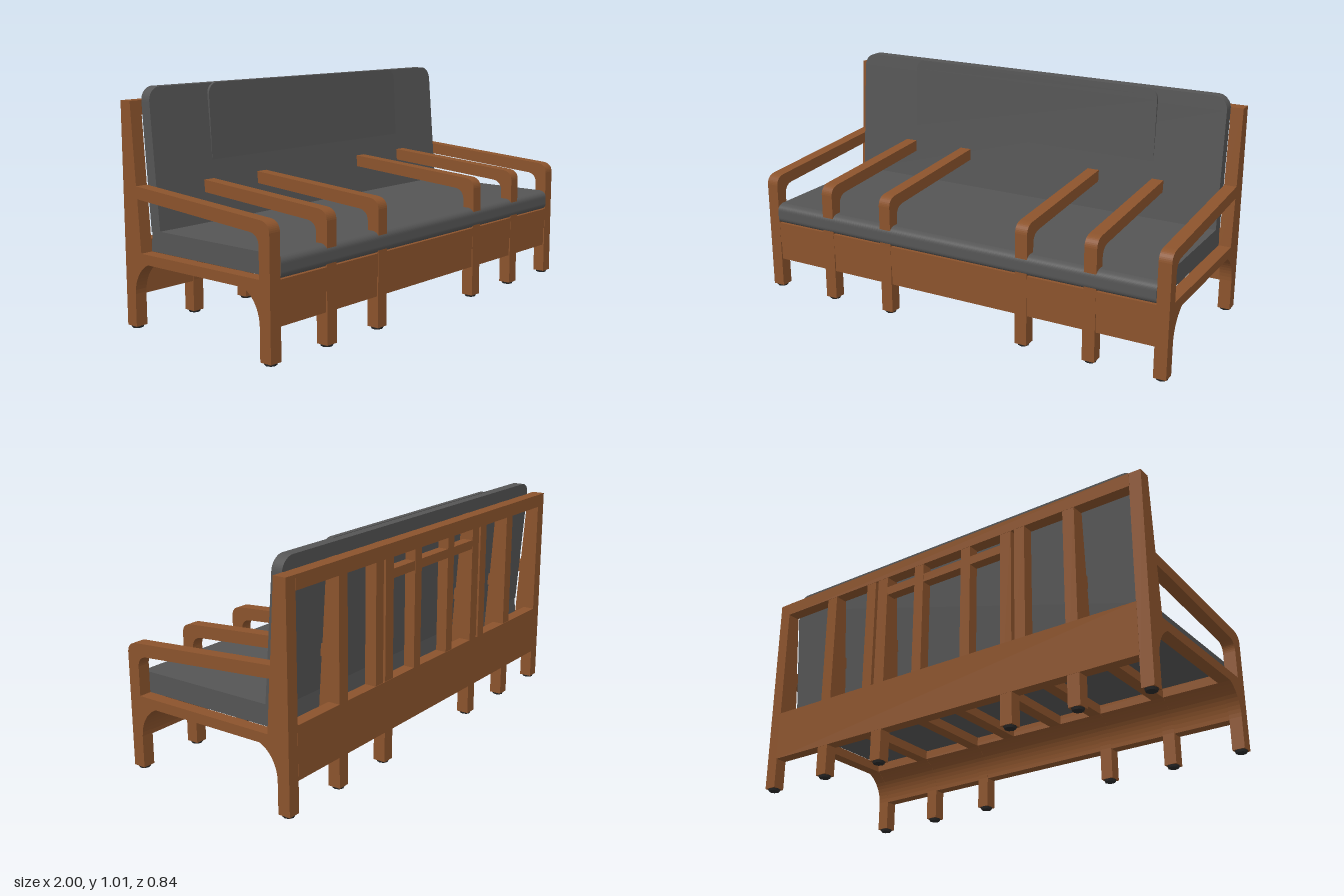
import * as THREE from 'three';

export function createModel() {
  const model = new THREE.Group();
  const mat = (name, color) => {
    const m = new THREE.MeshStandardMaterial({ color });
    m.name = name;
    return m;
  };
  const wood = mat('wood', 0x8b532c);
  const fabric = mat('fabric', 0x555555);
  const rubber = mat('rubber', 0x2b2b2b);

  const add = (name, geometry, material) => {
    const mesh = new THREE.Mesh(geometry, material);
    mesh.name = name;
    model.add(mesh);
    return mesh;
  };
  // Box given by its limits on each axis
  const box = (name, material, x0, x1, y0, y1, z0, z1) =>
    add(name, new THREE.BoxGeometry(x1 - x0, y1 - y0, z1 - z0), material)
      .position.set((x0 + x1) / 2, (y0 + y1) / 2, (z0 + z1) / 2);
  // Profile drawn in (z, y), extruded across x from x0 to x1
  const across = (name, material, shape, x0, x1) => {
    const g = new THREE.ExtrudeGeometry(shape, { depth: x1 - x0, bevelEnabled: false, curveSegments: 10 });
    g.rotateY(-Math.PI / 2);
    g.translate(x1, 0, 0);
    return add(name, g, material);
  };

  // Side frame: legs, arch, armrest and slanted back upright
  const frame = new THREE.Shape();
  frame.moveTo(0.418, 0.01);
  frame.lineTo(0.418, 0.51);
  frame.quadraticCurveTo(0.415, 0.55, 0.37, 0.554);
  frame.lineTo(-0.337, 0.605);
  frame.lineTo(-0.36, 0.95);
  frame.lineTo(-0.418, 0.95);
  frame.lineTo(-0.418, 0.01);
  frame.lineTo(-0.362, 0.01);
  frame.lineTo(-0.362, 0.15);
  frame.bezierCurveTo(-0.36, 0.21, -0.33, 0.26, -0.278, 0.285);
  frame.lineTo(0.278, 0.285);
  frame.bezierCurveTo(0.33, 0.26, 0.36, 0.21, 0.362, 0.15);
  frame.lineTo(0.362, 0.01);
  frame.closePath();
  const gap = new THREE.Path();
  gap.moveTo(0.362, 0.328);
  gap.lineTo(0.362, 0.455);
  gap.quadraticCurveTo(0.36, 0.498, 0.315, 0.503);
  gap.lineTo(-0.332, 0.552);
  gap.lineTo(-0.317, 0.328);
  gap.closePath();
  frame.holes.push(gap);

  for (const s of [-1, 1]) {
    for (const c of [0.972, 0.657, 0.342]) {
      const x = s * c;
      across('sideFrame', wood, frame, x - 0.028, x + 0.028);
      for (const z of [-0.39, 0.39]) {
        const foot = add('footGlide', new THREE.CylinderGeometry(0.028, 0.024, 0.01, 8), rubber);
        foot.position.set(x, 0.005, z);
      }
    }
    // Extra back posts, centre mullions and seat slats
    const post = s * 0.412, mull = s * 0.13;
    box('backPost', wood, post - 0.026, post + 0.026, 0.36, 0.9, -0.418, -0.365);
    box('backMullion', wood, mull - 0.025, mull + 0.025, 0.36, 0.9, -0.418, -0.368);
    box('seatSlat', wood, mull - 0.028, mull + 0.028, 0.285, 0.327, -0.37, 0.3);
  }

  // Back panel and rails
  box('backPanel', wood, -0.946, 0.946, 0.145, 0.37, -0.419, -0.365);
  box('topRail', wood, -0.946, 0.946, 0.89, 0.95, -0.419, -0.362);
  box('latticeRail', wood, -0.316, 0.316, 0.8, 0.84, -0.417, -0.369);

  // Front apron with concave underside
  const apron = new THREE.Shape();
  apron.moveTo(0.417, 0.327);
  apron.lineTo(0.417, 0.23);
  apron.lineTo(0.412, 0.23);
  apron.lineTo(0.412, 0.145);
  apron.lineTo(0.363, 0.145);
  apron.bezierCurveTo(0.361, 0.21, 0.331, 0.26, 0.279, 0.286);
  apron.lineTo(0.279, 0.327);
  apron.closePath();
  across('frontApron', wood, apron, -0.946, 0.946);

  // Seat cushion with a rounded front
  const seat = new THREE.Shape();
  seat.moveTo(-0.317, 0.329);
  seat.lineTo(0.405, 0.329);
  seat.quadraticCurveTo(0.422, 0.336, 0.422, 0.355);
  seat.lineTo(0.422, 0.385);
  seat.quadraticCurveTo(0.422, 0.412, 0.39, 0.418);
  seat.lineTo(-0.311, 0.418);
  seat.closePath();
  across('seatCushion', fabric, seat, -0.944, 0.944);

  // Back cushion: upright panels with rounded top corners, leaned back by a shear
  const panel = (w, y0, y1, r) => {
    const p = new THREE.Shape();
    p.moveTo(-w, y0);
    p.lineTo(w, y0);
    p.lineTo(w, y1 - r);
    p.absarc(w - r, y1 - r, r, 0, Math.PI / 2, false);
    p.lineTo(-w + r, y1);
    p.absarc(-w + r, y1 - r, r, Math.PI / 2, Math.PI, false);
    p.closePath();
    return p;
  };
  const lean = (name, shape, zFront, zBack) => {
    const g = new THREE.ExtrudeGeometry(shape, { depth: 1, bevelEnabled: false, curveSegments: 8 });
    const p = g.attributes.position;
    for (let i = 0; i < p.count; i++) {
      const y = p.getY(i);
      p.setZ(i, p.getZ(i) > 0.5 ? zFront(y) : zBack(y));
    }
    g.computeVertexNormals();
    add(name, g, fabric);
  };
  const front = y => -0.262 - (y - 0.418) * 0.083;
  const back = y => -0.316 - (y - 0.418) * 0.075;
  lean('backCushion', panel(0.944, 0.41, 1.005, 0.06), front, back);
  // Centre swell that grows towards the top
  lean('backCushionCentre', panel(0.63, 0.68, 1.007, 0.05), y => front(y) + 0.001 + (y - 0.68) * 0.035, y => front(y) - 0.01);

  return model;
}
